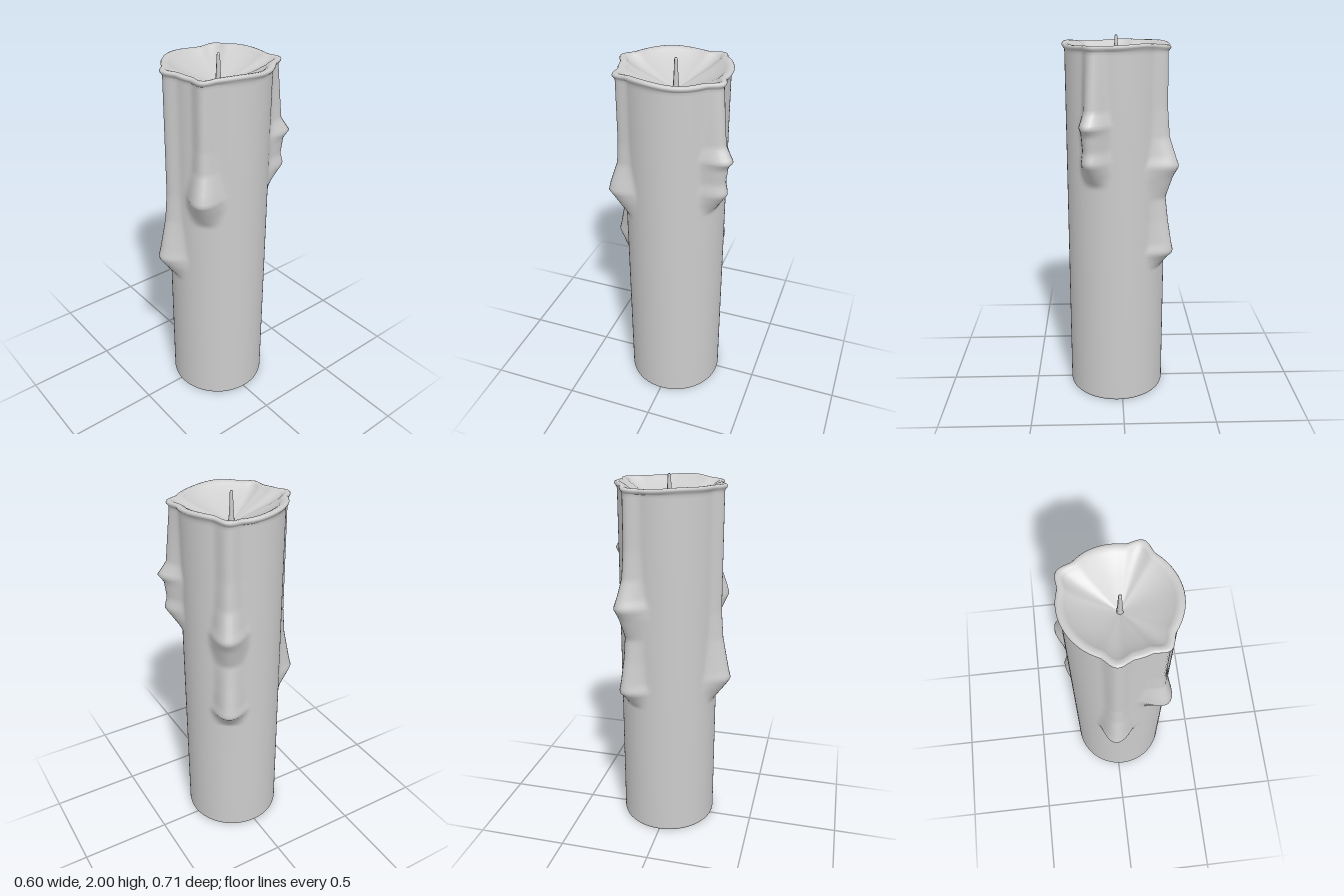
import * as THREE from 'three';

const CX = 0.028, CZ = -0.005, R = 0.268, SEG = 128, TOP = 1.93;

// Wax drips: angle in degrees (x towards z), then [height, bulge, half width] from top to bottom
const drips = [
  { angle: 99, keys: [[2, 0.032, 0.075], [1.3, 0.035, 0.075], [1.15, 0.048, 0.085], [0.97, 0.085, 0.11], [0.92, 0.098, 0.12], [0.87, 0.065, 0.12], [0.78, 0, 0.09]] },
  { angle: 53, keys: [[2, 0.034, 0.07], [1.6, 0.036, 0.07], [1.48, 0.045, 0.08], [1.37, 0.085, 0.11], [1.33, 0.095, 0.12], [1.28, 0.065, 0.12], [1.17, 0, 0.09]] },
  { angle: -64, keys: [[2, 0.03, 0.07], [1.64, 0.068, 0.08], [1.57, 0.115, 0.1], [1.53, 0.084, 0.1], [1.44, 0.074, 0.09], [1.38, 0.09, 0.1], [1.33, 0.055, 0.1], [1.25, 0, 0.08]] },
  { angle: 213, keys: [[2, 0.034, 0.075], [1.65, 0.038, 0.075], [1.5, 0.052, 0.085], [1.4, 0.09, 0.1], [1.35, 0.11, 0.12], [1.29, 0.075, 0.12], [1.17, 0.032, 0.09], [1.05, 0.05, 0.09], [0.92, 0.075, 0.1], [0.87, 0.085, 0.12], [0.83, 0.045, 0.11], [0.77, 0, 0.09]] },
];

// Blend between a drip's keys at height y
function dripAt(keys, y) {
  for (let i = 0; i < keys.length - 1; i++) {
    const [y0, h0, w0] = keys[i], [y1, h1, w1] = keys[i + 1];
    if (y <= y0 && y >= y1) {
      const t = (y0 - y) / (y0 - y1);
      return [h0 + (h1 - h0) * t, w0 + (w1 - w0) * t];
    }
  }
  return [0, 0.1];
}

// Outer radius of the wax at an angle and height
function waxRadius(a, y) {
  let r = R;
  for (const d of drips) {
    const diff = a - THREE.MathUtils.degToRad(d.angle);
    const dist = Math.abs(Math.atan2(Math.sin(diff), Math.cos(diff))) * R;
    const [h, w] = dripAt(d.keys, y);
    r += h * (1 - THREE.MathUtils.smoothstep(dist, 0, w));
  }
  return r;
}

// Skin a closed surface through rings given as functions of angle -> [radius, y]
function skin(rings) {
  const pos = [], idx = [];
  rings.forEach((ring, i) => {
    for (let j = 0; j < SEG; j++) {
      const a = (j / SEG) * Math.PI * 2, [r, y] = ring(a);
      pos.push(CX + r * Math.cos(a), y, CZ + r * Math.sin(a));
      if (i === 0) continue;
      const k = (j + 1) % SEG, lo = (i - 1) * SEG, hi = i * SEG;
      idx.push(lo + j, hi + j, lo + k, lo + k, hi + j, hi + k);
    }
  });
  const g = new THREE.BufferGeometry();
  g.setAttribute('position', new THREE.Float32BufferAttribute(pos, 3));
  g.setIndex(idx);
  g.computeVertexNormals();
  return g;
}

export function createModel() {
  const group = new THREE.Group();
  const wax = new THREE.MeshStandardMaterial({ color: 0xcccccc });
  wax.name = 'pale grey';

  const add = (name, geometry) => {
    const m = new THREE.Mesh(geometry, wax);
    m.name = name;
    group.add(m);
    return m;
  };

  // Shaft with drips, from the softened foot to just below the rim
  const rings = [() => [R - 0.007, 0], () => [R - 0.002, 0.006], () => [R, 0.015]];
  for (let y = 0.25; y < 0.75; y += 0.25) rings.push(() => [R, y]);
  for (let y = 0.76; y <= TOP + 0.001; y += 0.015) rings.push((a) => [waxRadius(a, y), y]);

  // Rounded, wavy rim: [offset from the outer radius, height]
  const wave = (a) => 0.005 * Math.sin(3 * a + 1) + 0.003 * Math.sin(5 * a);
  const rim = [[0.004, 1.938], [0.011, 1.946], [0.014, 1.954], [0.01, 1.961], [0, 1.964], [-0.014, 1.962], [-0.028, 1.954], [-0.04, 1.942]];
  for (const [off, y] of rim) rings.push((a) => [waxRadius(a, TOP) + off, y + wave(a)]);

  // Melted bowl sinking to the wick
  for (const t of [0.2, 0.4, 0.6, 0.8, 0.95, 1]) {
    rings.push((a) => [
      (waxRadius(a, TOP) - 0.04) * (1 - t) + 0.001 * t,
      THREE.MathUtils.lerp(1.942 + wave(a), 1.84, Math.pow(t, 0.85)),
    ]);
  }
  add('candleBody', skin(rings));

  // Flat underside
  const base = add('candleBase', new THREE.CircleGeometry(R - 0.007, SEG));
  base.rotation.x = Math.PI / 2;
  base.position.set(CX, 0, CZ);

  // Six-sided tapering wick
  const profile = [[0.019, 1.83], [0.016, 1.86], [0.012, 1.92], [0.009, 1.99], [0.006, 2], [0, 2]];
  const wick = add('wick', new THREE.LatheGeometry(profile.map(([x, y]) => new THREE.Vector2(x, y)), 6));
  wick.position.set(CX, 0, CZ);

  return group;
}
